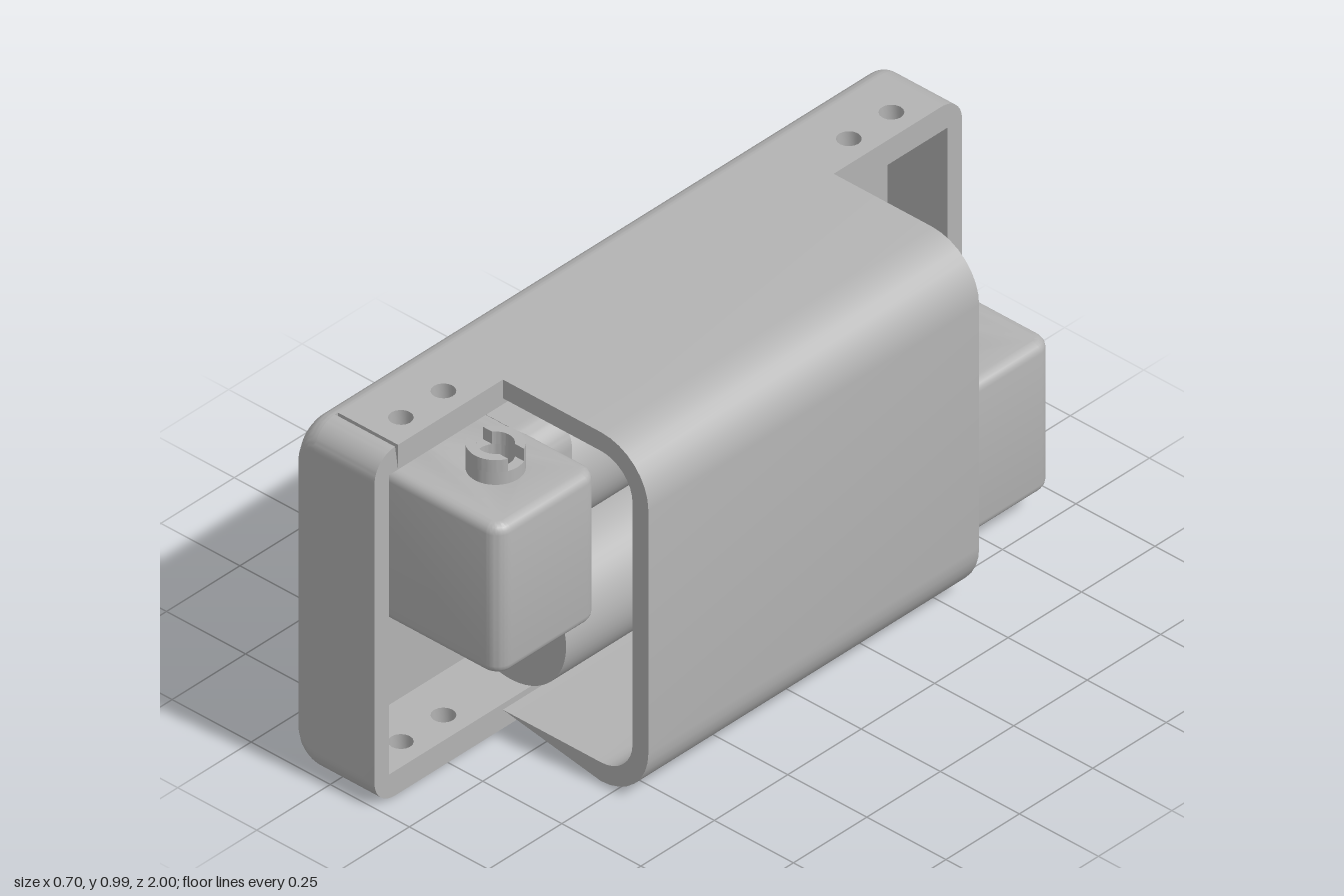
import * as THREE from 'three';
import { toCreasedNormals } from 'three/addons/utils/BufferGeometryUtils.js';

const H = 0.99; // overall height

function roundedRect(x0, y0, x1, y1, r) {
  const s = new THREE.Shape();
  s.absarc(x1 - r, y1 - r, r, 0, Math.PI / 2);
  s.absarc(x0 + r, y1 - r, r, Math.PI / 2, Math.PI);
  s.absarc(x0 + r, y0 + r, r, Math.PI, Math.PI * 1.5);
  s.absarc(x1 - r, y0 + r, r, Math.PI * 1.5, Math.PI * 2);
  s.closePath();
  return s;
}

function circle(x, y, r) {
  return new THREE.Path().absarc(x, y, r, 0, Math.PI * 2, true);
}

function extrude(shape, depth, extra = {}) {
  return new THREE.ExtrudeGeometry(shape, { depth, bevelEnabled: false, curveSegments: 8, ...extra });
}

// Shape (x, -z) extruded upward from y0
const alongY = (shape, y0, depth, extra) => extrude(shape, depth, extra).rotateX(-Math.PI / 2).translate(0, y0, 0);
// Shape (-z, y) extruded towards +x from x0
const alongX = (shape, x0, depth, extra) => extrude(shape, depth, extra).rotateY(Math.PI / 2).translate(x0, 0, 0);

export function createModel() {
  const model = new THREE.Group();
  const grey = new THREE.MeshStandardMaterial({ color: 0xb3b3b3 });
  grey.name = 'plainGrey';

  function add(parent, name, geometry) {
    const mesh = new THREE.Mesh(toCreasedNormals(geometry, 0.6), grey);
    mesh.name = name;
    parent.add(mesh);
    return mesh;
  }

  // Tray back: long top and bottom edges are filleted
  const back = alongX(roundedRect(-1, 0, 1, H, 0.07), -0.35, 0.05, { steps: 8 });
  const p = back.attributes.position;
  for (let i = 0; i < p.count; i++) {
    const t = (-0.3 - p.getX(i)) / 0.05;
    const inset = 0.05 * (1 - Math.sqrt(Math.max(0, 1 - t * t)));
    p.setY(i, H / 2 + (p.getY(i) - H / 2) * (1 - inset / (H / 2)));
  }
  add(model, 'trayBack', back);

  // Tray end walls with rounded corners
  const end = new THREE.Shape();
  end.moveTo(0.92, 0);
  end.absarc(0.93, 0.07, 0.07, -Math.PI / 2, 0);
  end.absarc(0.93, H - 0.07, 0.07, 0, Math.PI / 2);
  end.lineTo(0.92, H);
  end.lineTo(0.92, H - 0.07);
  end.lineTo(0.95, H - 0.07);
  end.lineTo(0.95, 0.07);
  end.lineTo(0.92, 0.07);
  end.closePath();
  const endGeometry = alongX(end, -0.3, 0.19);
  add(model, 'trayEndBack', endGeometry);
  add(model, 'trayEndFront', endGeometry.clone().rotateX(Math.PI).translate(0, H, 0));

  // Tray top and bottom walls with screw holes
  const wall = new THREE.Shape();
  wall.moveTo(-0.3, -0.92).lineTo(-0.11, -0.92).lineTo(-0.11, 0.92).lineTo(-0.3, 0.92).closePath();
  for (const z of [-0.835, -0.69, 0.69, 0.835]) wall.holes.push(circle(-0.18, z, 0.03));
  add(model, 'trayBottom', alongY(wall, 0, 0.07));
  add(model, 'trayTop', alongY(wall, H - 0.07, 0.07));

  // Cover: C-shaped section over the middle
  const c = new THREE.Shape();
  c.moveTo(-0.11, 0);
  c.absarc(0.2, 0.15, 0.15, -Math.PI / 2, 0);
  c.absarc(0.2, H - 0.15, 0.15, 0, Math.PI / 2);
  c.lineTo(-0.11, H);
  c.lineTo(-0.11, H - 0.053);
  c.absarc(0.2, H - 0.153, 0.1, Math.PI / 2, 0, true);
  c.absarc(0.2, 0.153, 0.1, 0, -Math.PI / 2, true);
  c.lineTo(-0.11, 0.053);
  c.closePath();
  add(model, 'cover', extrude(c, 1.126, { curveSegments: 4 }).translate(0, 0, -0.563));

  // One drive unit: gearbox, neck, motor and slotted hubs
  function driveUnit(name) {
    const unit = new THREE.Group();
    unit.name = name;
    const hx = 0.05, hz = 0.76, bevel = 0.025;

    const box = roundedRect(-0.3, -0.945, 0.23, -0.6, 0.045);
    box.holes.push(circle(hx, -hz, 0.046));
    for (const z of [0.69, 0.835]) box.holes.push(circle(-0.18, -z, 0.012));
    add(unit, 'gearbox', alongY(box, 0.498 + bevel, 0.422 - 2 * bevel, {
      bevelEnabled: true, bevelSize: bevel, bevelThickness: bevel, bevelOffset: -bevel, bevelSegments: 4,
    }));

    add(unit, 'neck', extrude(roundedRect(-0.3, 0.498, 0.05, 0.92, 0.08), 0.12).translate(0, 0, 0.5));
    add(unit, 'motor', new THREE.CylinderGeometry(0.175, 0.175, 1.07, 48)
      .rotateX(Math.PI / 2).translate(-0.125, 0.705, 0.015));

    // Hub sleeve runs through the gearbox
    const ring = new THREE.Shape().absarc(0, 0, 0.07, 0, Math.PI * 2);
    ring.holes.push(circle(0, 0, 0.045));
    add(unit, 'hubSleeve', alongY(ring, 0.462, 0.493, { curveSegments: 32 }).translate(hx, 0, hz));

    // Slotted hub ends: two ring sectors each, slots crossed top to bottom
    const a = Math.asin(0.027 / 0.07), b = Math.asin(0.027 / 0.045);
    const sector = new THREE.Shape();
    sector.absarc(0, 0, 0.07, a, Math.PI - a);
    sector.absarc(0, 0, 0.045, Math.PI - b, b, true);
    sector.closePath();
    for (const turn of [0, Math.PI]) {
      add(unit, 'upperHubTooth', alongY(sector, 0.955, 0.035, { curveSegments: 16 })
        .rotateY(turn).translate(hx, 0, hz));
      add(unit, 'lowerHubTooth', alongY(sector, 0.427, 0.035, { curveSegments: 16 })
        .rotateY(turn + Math.PI / 2).translate(hx, 0, hz));
    }
    model.add(unit);
    return unit;
  }

  driveUnit('frontDrive');
  const rear = driveUnit('rearDrive');
  rear.rotation.x = Math.PI;
  rear.position.y = H;

  return model;
}
